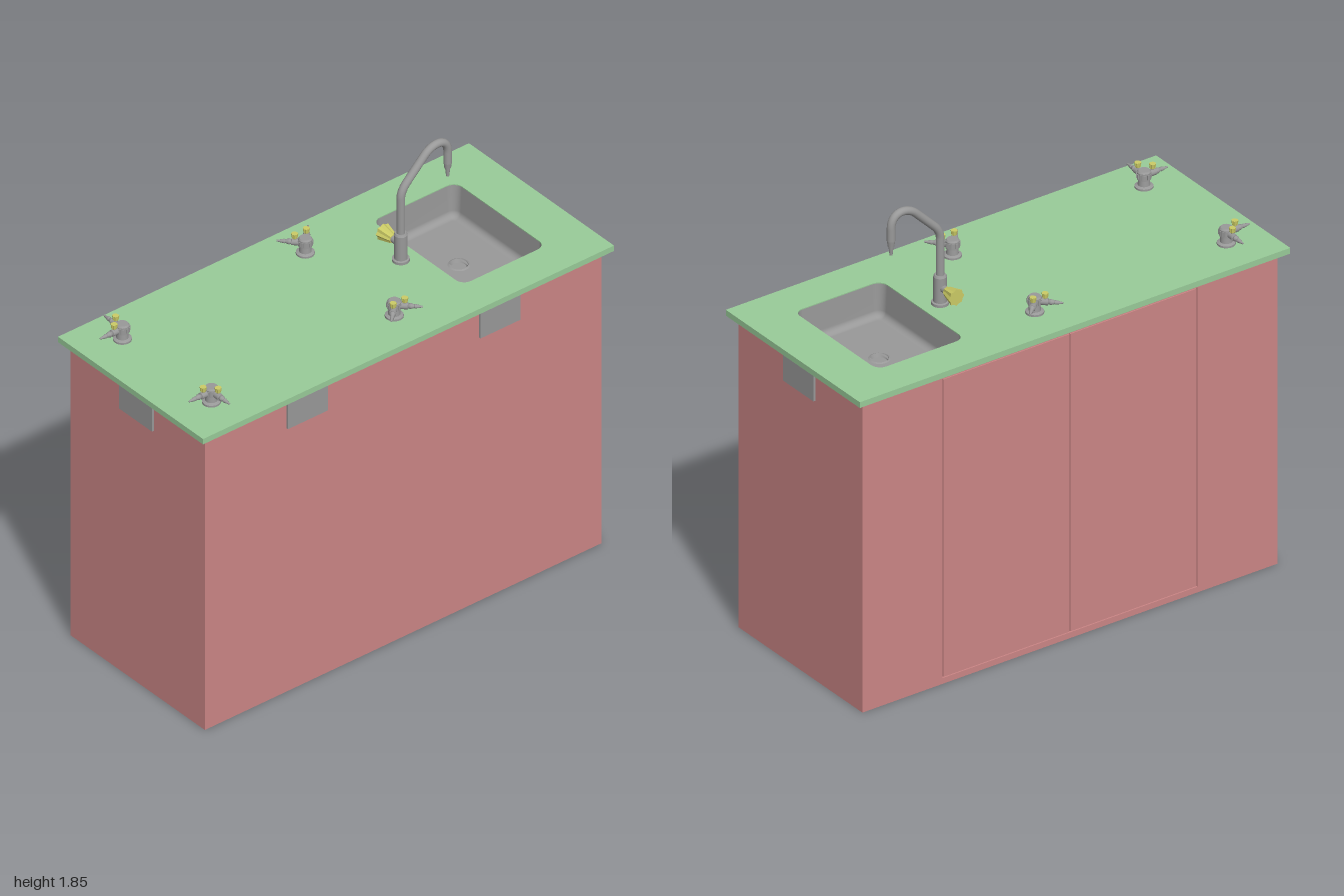
import * as THREE from 'three';

const mat = (color, opts = {}) => new THREE.MeshStandardMaterial({ color, ...opts });
const RED = mat(0xcc8686);
const GREEN = mat(0x99cc99);
const METAL = mat(0x999999);
const METAL_THIN = mat(0x999999, { side: THREE.DoubleSide });
const YELLOW = mat(0xcccc66, { flatShading: true });

const TOP = 1.375, UNDER = 1.35;     // worktop surface and underside
const W = 0.965, D = 0.4, T = 0.025; // cabinet half width, half depth, panel thickness
const SINK = { x: 0.598, z: 0, w: 0.2025, d: 0.27, r: 0.04 };

function add(parent, name, geometry, material, x = 0, y = 0, z = 0) {
  const mesh = new THREE.Mesh(geometry, material);
  mesh.name = name;
  mesh.position.set(x, y, z);
  parent.add(mesh);
  return mesh;
}

// Box given by its limits
function panel(parent, name, material, x0, x1, y0, y1, z0, z1) {
  return add(parent, name, new THREE.BoxGeometry(x1 - x0, y1 - y0, z1 - z0), material,
    (x0 + x1) / 2, (y0 + y1) / 2, (z0 + z1) / 2);
}

// Turned part with crisp steps: each section between points is its own band
function turned(profile, segments = 24) {
  const pts = [];
  profile.forEach(([r, y], i) => {
    pts.push(new THREE.Vector2(r, y));
    if (i > 0 && i < profile.length - 1) pts.push(new THREE.Vector2(r, y + 1e-5));
  });
  return new THREE.LatheGeometry(pts, segments);
}

// Points around a rounded rectangle, counted from +x towards +z
function roundedLoop(inset) {
  const pts = [], r = Math.max(SINK.r - inset, 0.012);
  const cx = SINK.w - inset - r, cz = SINK.d - inset - r;
  for (let c = 0; c < 4; c++) {
    const sx = c === 0 || c === 3 ? 1 : -1, sz = c < 2 ? 1 : -1;
    for (let i = 0; i <= 6; i++) {
      const a = (c + i / 6) * Math.PI / 2;
      pts.push([sx * cx + r * Math.cos(a), sz * cz + r * Math.sin(a)]);
    }
  }
  return pts;
}

function makeCabinet() {
  const g = new THREE.Group();
  g.name = 'cabinet';
  for (const s of [-1, 1]) {
    const a = s * W, b = s * (W - T);
    panel(g, 'endPanel', RED, Math.min(a, b), Math.max(a, b), 0, UNDER, -D, D);
    const c = s * 0.592;
    panel(g, 'backStile', RED, Math.min(b, c), Math.max(b, c), 0, UNDER, -D, -D + T);
    // Doors with a narrow gap all round
    const e = s * 0.002, f = s * 0.588;
    panel(g, 'door', RED, Math.min(e, f), Math.max(e, f), T + 0.004, UNDER - T - 0.004, -D, -D + T);
  }
  panel(g, 'frontPanel', RED, -W + T, W - T, 0, UNDER, D - T, D);
  panel(g, 'bottomRail', RED, -0.592, 0.592, 0, T, -D, -D + T);
  panel(g, 'topRail', RED, -0.592, 0.592, UNDER - T, UNDER, -D, -D + T);
  // Service plates on the front and both ends
  for (const x of [-0.47, 0.467]) panel(g, 'frontPlate', METAL, x - 0.098, x + 0.098, 1.215, 1.33, D, D + 0.009);
  panel(g, 'leftPlate', METAL, W, W + 0.01, 1.215, 1.33, -0.098, 0.098);
  panel(g, 'rightPlate', METAL, -W - 0.01, -W, 1.215, 1.33, -0.098, 0.098);
  return g;
}

function makeWorktop() {
  const shape = new THREE.Shape([[-1, -0.432], [1, -0.432], [1, 0.432], [-1, 0.432]].map(p => new THREE.Vector2(...p)));
  shape.holes.push(new THREE.Path(roundedLoop(0).map(([x, z]) => new THREE.Vector2(x + SINK.x, z + SINK.z))));
  const geo = new THREE.ExtrudeGeometry(shape, { depth: TOP - UNDER, bevelEnabled: false });
  geo.rotateX(-Math.PI / 2);
  const mesh = new THREE.Mesh(geo, GREEN);
  mesh.name = 'worktop';
  mesh.position.y = UNDER;
  return mesh;
}

// Bowl lofted from rounded loops down to a round drain opening
function makeSink() {
  const g = new THREE.Group();
  g.name = 'sink';
  g.position.set(SINK.x, TOP, SINK.z);
  const depth = 0.145, fillet = 0.028;
  const rings = [[0, -0.004], [0.002, -0.05]];
  for (let i = 0; i <= 6; i++) {
    const a = i / 6 * Math.PI / 2;
    rings.push([0.005 + fillet * (1 - Math.cos(a)), -depth + fillet * (1 - Math.sin(a))]);
  }
  const loops = rings.map(([inset, y]) => roundedLoop(inset).map(([x, z]) => [x, y, z]));
  loops.push(loops[loops.length - 1].map(([x, , z]) => {
    const l = Math.hypot(x, z);
    return [x / l * 0.04, -depth, z / l * 0.04];
  }));
  const n = loops[0].length, index = [];
  for (let r = 0; r < loops.length - 1; r++) {
    for (let i = 0; i < n; i++) {
      const a = r * n + i, b = r * n + (i + 1) % n;
      index.push(a, a + n, b, b, a + n, b + n);
    }
  }
  const geo = new THREE.BufferGeometry();
  geo.setAttribute('position', new THREE.Float32BufferAttribute(loops.flat(2), 3));
  geo.setIndex(index);
  geo.computeVertexNormals();
  add(g, 'bowl', geo, METAL_THIN);
  add(g, 'drain', turned([[0, -0.012], [0.03, -0.012], [0.036, 0.003], [0.043, 0]]), METAL_THIN, 0, -depth, 0);
  return g;
}

// Knob along +y with a fluted side that widens outwards
function flutedKnob(r0, r1, h) {
  const geo = new THREE.CylinderGeometry(r1, r0, h, 16, 1);
  const p = geo.attributes.position;
  for (let i = 0; i < p.count; i++) {
    const x = p.getX(i), z = p.getZ(i);
    const k = Math.round(Math.atan2(z, x) / (Math.PI / 8)) % 2 ? 0.84 : 1;
    p.setXYZ(i, x * k, p.getY(i), z * k);
  }
  return geo;
}

function makeFaucet() {
  const g = new THREE.Group();
  g.name = 'faucet';
  g.position.set(0.317, 0, -0.002);
  add(g, 'faucetBody', turned([[0, TOP], [0.034, TOP], [0.034, 1.386], [0.026, 1.388], [0.026, 1.495], [0.022, 1.503], [0, 1.503]]), METAL);
  const v = (x, y) => new THREE.Vector3(x, y, 0);
  const path = new THREE.CurvePath();
  path.add(new THREE.LineCurve3(v(0, 1.49), v(0, 1.66)));
  path.add(new THREE.QuadraticBezierCurve3(v(0, 1.66), v(0, 1.693), v(0.03, 1.723)));
  path.add(new THREE.LineCurve3(v(0.03, 1.723), v(0.113, 1.806)));
  path.add(new THREE.CubicBezierCurve3(v(0.113, 1.806), v(0.155, 1.848), v(0.228, 1.848), v(0.228, 1.775)));
  path.add(new THREE.LineCurve3(v(0.228, 1.775), v(0.228, 1.725)));
  add(g, 'spout', new THREE.TubeGeometry(path, 80, 0.0165, 16), METAL);
  add(g, 'nozzle', turned([[0, 1.663], [0.006, 1.663], [0.01, 1.70], [0.013, 1.702], [0.0165, 1.728], [0, 1.73]], 16), METAL, 0.228);
  // Side valve and its knob, pointing to the back
  const stem = add(g, 'valveStem', new THREE.CylinderGeometry(0.015, 0.015, 0.05, 16), METAL, 0, 1.45, -0.03);
  const knob = add(g, 'valveKnob', flutedKnob(0.02, 0.036, 0.062), YELLOW, 0, 1.45, -0.075);
  stem.rotation.x = knob.rotation.x = -Math.PI / 2;
  return g;
}

// Twin gas tap; each heading is the angle of an outlet from +x towards +z
function makeTap(x, z, headings) {
  const g = new THREE.Group();
  g.name = 'gasTap';
  g.position.set(x, TOP, z);
  add(g, 'tapBase', turned([[0, 0], [0.036, 0], [0.036, 0.008], [0.024, 0.012], [0.022, 0.035], [0.027, 0.037],
    [0.027, 0.068], [0.022, 0.074], [0, 0.074]], 20), METAL);
  for (let i = 0; i < 12; i++) {
    const a = i * Math.PI / 6;
    add(g, 'tapRib', new THREE.BoxGeometry(0.008, 0.02, 0.008), METAL, 0.026 * Math.cos(a), 0.053, 0.026 * Math.sin(a)).rotation.y = -a;
  }
  for (const a of headings) {
    const arm = new THREE.Group();
    arm.name = 'tapOutlet';
    arm.rotation.y = -a;
    g.add(arm);
    // Barbed hose outlet
    add(arm, 'outletNozzle', turned([[0, 0.015], [0.014, 0.015], [0.014, 0.052], [0.009, 0.054], [0.012, 0.062],
      [0.007, 0.076], [0.009, 0.079], [0.003, 0.109], [0, 0.109]], 12), METAL, 0, 0.051, 0).rotation.z = -Math.PI / 2;
    add(arm, 'outletStem', new THREE.CylinderGeometry(0.006, 0.006, 0.02, 10), METAL, 0.04, 0.068, 0);
    add(arm, 'outletKnob', flutedKnob(0.011, 0.014, 0.02), YELLOW, 0.04, 0.079, 0);
  }
  return g;
}

export function createModel() {
  const model = new THREE.Group();
  model.name = 'labBench';
  model.add(makeCabinet(), makeWorktop(), makeSink(), makeFaucet());
  // Taps near the right end and the middle, mirrored front to back
  const q = Math.PI / 4;
  for (const s of [-1, 1]) {
    model.add(makeTap(-0.823, s * 0.265, [Math.PI, s * 2 * q]));
    model.add(makeTap(0.067, s * 0.265, [s * q, s * 3 * q]));
  }
  return model;
}
